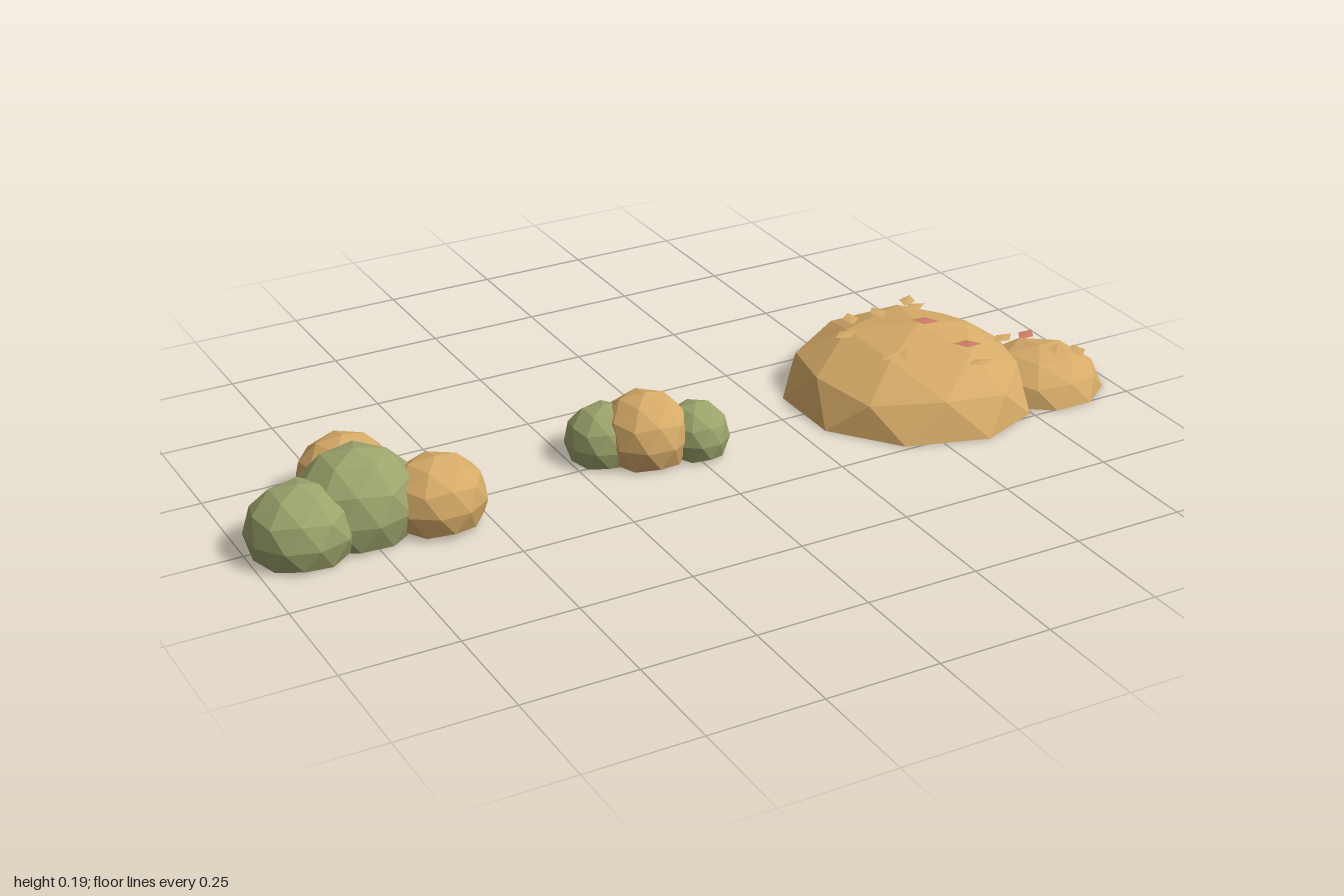
import * as THREE from 'three';

export function createModel() {
  const model = new THREE.Group();
  const material = (name, color) => {
    const m = new THREE.MeshStandardMaterial({ color, flatShading: true });
    m.name = name;
    return m;
  };
  const tan = material('dry leaf tan', 0xd6ab68);
  const green = material('olive green', 0x9ca36b);
  const pink = material('dusty red', 0xcf7c66);

  const GROUND = 0.003;
  const TILT = Math.atan(2 / (1 + Math.sqrt(5))); // puts an icosahedron corner on top

  // Faceted blob with a flat underside; squash narrows its +x half
  function blob(group, name, mat, [x, y, z], [rx, ry, rz], turn = 0, squash = 1) {
    const geo = new THREE.IcosahedronGeometry(1, 1);
    geo.rotateZ(TILT);
    geo.rotateY(Math.PI + turn);
    geo.scale(rx, ry, rz);
    const p = geo.attributes.position;
    for (let i = 0; i < p.count; i++) {
      const px = p.getX(i);
      p.setXYZ(i, x + (px > 0 ? px * squash : px),
        Math.max(GROUND, y + p.getY(i)), z + p.getZ(i));
    }
    geo.computeVertexNormals();
    const mesh = new THREE.Mesh(geo, mat);
    mesh.name = name;
    group.add(mesh);
  }

  function cluster(name) {
    const g = new THREE.Group();
    g.name = name;
    model.add(g);
    return g;
  }

  // Large bush cluster
  const large = cluster('largeBush');
  blob(large, 'bushCentre', green, [-0.755, 0.065, 0.005], [0.135, 0.125, 0.125]);
  blob(large, 'bushSide', green, [-0.888, 0.055, 0.035], [0.117, 0.1, 0.112]);
  blob(large, 'bushBack', tan, [-0.73, 0.058, -0.12], [0.105, 0.097, 0.102], 0.3);
  blob(large, 'bushFront', tan, [-0.6, 0.06, 0.055], [0.108, 0.095, 0.1], 0.31);

  // Small bush cluster
  const small = cluster('smallBush');
  blob(small, 'bushCentre', tan, [-0.092, 0.055, 0], [0.1, 0.097, 0.103], 0.2);
  blob(small, 'bushSide', green, [-0.17, 0.045, -0.04], [0.087, 0.08, 0.085]);
  blob(small, 'bushFront', green, [0.013, 0.045, 0.035], [0.073, 0.075, 0.076], 0.31);

  // Leaf pile: a broad dome and a low one beside it
  const pile = cluster('leafPile');
  blob(pile, 'mainMound', tan, [0.6, GROUND, 0], [0.31, 0.157, 0.294], 0, 0.79);
  blob(pile, 'sideMound', tan, [0.852, GROUND, 0.115], [0.145, 0.092, 0.147], Math.PI / 10);

  // Loose leaves: x, y, z, turn
  const leaf = new THREE.OctahedronGeometry(1, 0);
  const addLeaves = (list, mat) => list.forEach(([x, y, z, turn]) => {
    const mesh = new THREE.Mesh(leaf, mat);
    mesh.name = 'looseLeaf';
    mesh.position.set(x, y, z);
    mesh.rotation.y = turn;
    mesh.scale.set(0.031, 0.002, 0.019);
    pile.add(mesh);
  });
  addLeaves([
    [0.49, 0.15, -0.11, 1.2], [0.55, 0.16, -0.09, 1.5], [0.64, 0.159, -0.08, 0.1],
    [0.44, 0.147, -0.05, 0.2], [0.47, 0.147, 0.09, 0.4], [0.5, 0.148, 0.105, 1],
    [0.64, 0.132, 0.185, 0], [0.695, 0.118, -0.19, 0.8], [0.785, 0.108, 0.065, 0.3],
    [0.87, 0.098, 0.155, 0.9], [0.94, 0.073, 0.14, 1.3],
  ], tan);
  addLeaves([[0.61, 0.167, 0.01, -0.6], [0.65, 0.147, 0.12, -0.5], [0.89, 0.07, 0.01, 0.5]], pink);

  return model;
}
